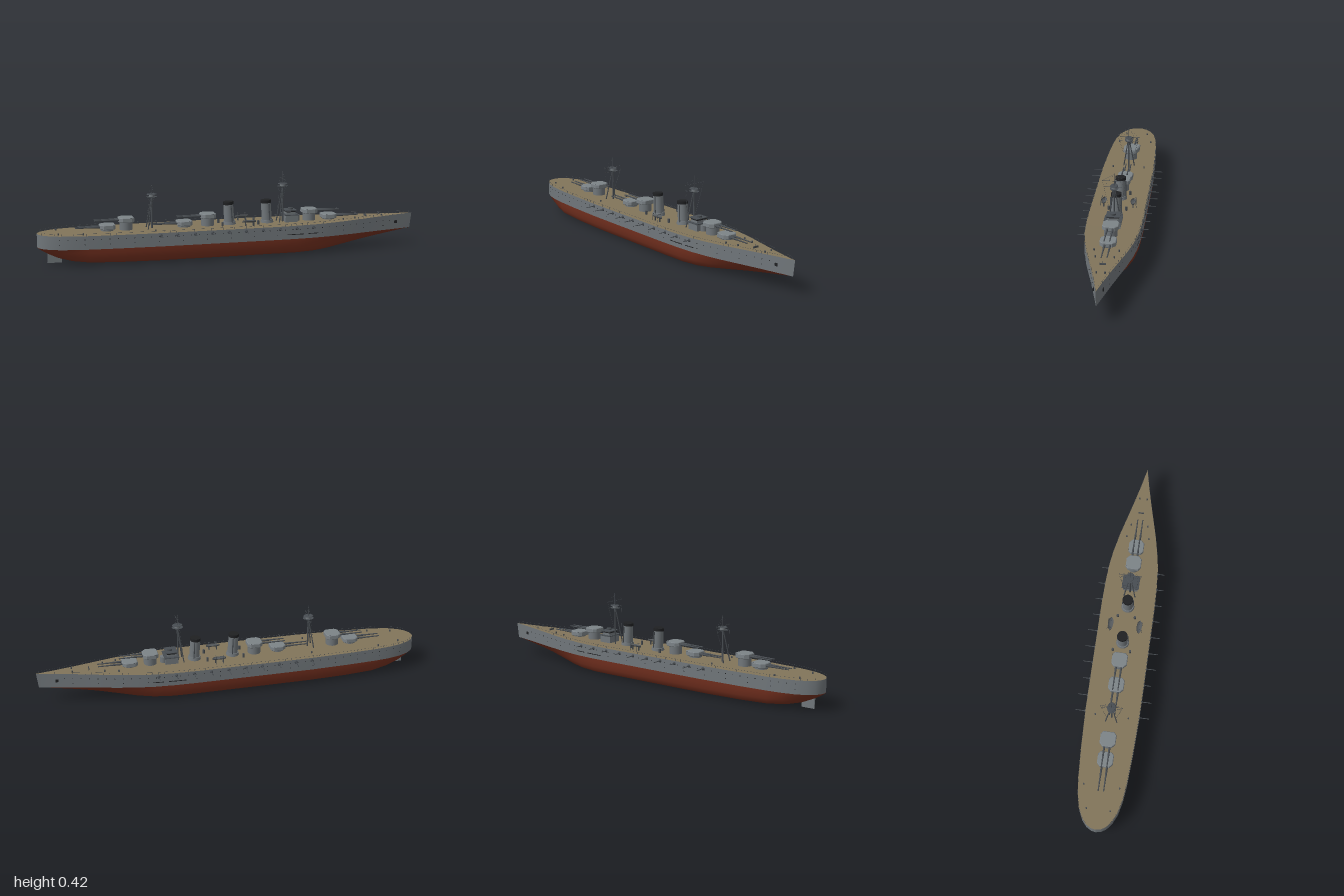
import * as THREE from 'three';
import { mergeGeometries } from 'three/addons/utils/BufferGeometryUtils.js';

const paint = (name, color, side = THREE.FrontSide) => {
  const m = new THREE.MeshStandardMaterial({ color, side });
  m.name = name;
  return m;
};
const V = (x, y, z) => new THREE.Vector3(x, y, z);

// Hull stations: x, half beam, keel height
const STATIONS = [
  [-1, 0, 0.088], [-0.995, 0.025, 0.082], [-0.98, 0.05, 0.073], [-0.95, 0.075, 0.056], [-0.9, 0.098, 0.034],
  [-0.83, 0.114, 0.017], [-0.75, 0.123, 0.009], [-0.6, 0.132, 0.005], [-0.4, 0.139, 0.003], [-0.2, 0.14, 0.003],
  [0, 0.14, 0.003], [0.2, 0.14, 0.003], [0.32, 0.137, 0.003], [0.42, 0.13, 0.005], [0.5, 0.118, 0.011],
  [0.6, 0.097, 0.025], [0.7, 0.071, 0.041], [0.8, 0.045, 0.057], [0.9, 0.021, 0.074], [0.97, 0.006, 0.085], [1, 0, 0.088],
];
const WATER = 0.088;
const deckY = (x) => 0.156 + 0.012 * Math.pow(Math.max(0, (x - 0.2) / 0.8), 1.5);
function beam(x) {
  const i = Math.max(1, STATIONS.findIndex((s) => s[0] >= x));
  const [a, b] = [STATIONS[i - 1], STATIONS[i]];
  return a[1] + ((b[1] - a[1]) * (x - a[0])) / (b[0] - a[0]);
}

// Skin through a list of rings with equal point counts
function loft(rings) {
  const n = rings[0].length, index = [];
  for (let i = 0; i < rings.length - 1; i++)
    for (let j = 0; j < n - 1; j++) {
      const a = i * n + j, c = a + n;
      index.push(a, a + 1, c, a + 1, c + 1, c);
    }
  const g = new THREE.BufferGeometry();
  g.setAttribute('position', new THREE.Float32BufferAttribute(rings.flat(2), 3));
  g.setIndex(index);
  g.computeVertexNormals();
  return g;
}

// Round bar between two points
function rod(a, b, r0, r1 = r0, sides = 6) {
  const d = b.clone().sub(a);
  const g = new THREE.CylinderGeometry(r1, r0, d.length(), sides);
  g.applyQuaternion(new THREE.Quaternion().setFromUnitVectors(V(0, 1, 0), d.normalize()));
  return g.translate((a.x + b.x) / 2, (a.y + b.y) / 2, (a.z + b.z) / 2);
}
const box = (w, h, d, x, y, z) => new THREE.BoxGeometry(w, h, d).translate(x, y, z);
const drum = (r0, r1, y0, y1, x = 0, z = 0, sides = 24) =>
  new THREE.CylinderGeometry(r1, r0, y1 - y0, sides).translate(x, (y0 + y1) / 2, z);

export function createModel() {
  const ship = new THREE.Group();
  ship.name = 'battleship';
  const grey = paint('hull grey', 0x70767a), red = paint('bottom red', 0x74301f);
  const wood = paint('deck wood', 0x81745a), light = paint('turret grey', 0x7c8387);
  const dark = paint('dark grey', 0x484d52), black = paint('black', 0x1f2022);
  const line = paint('boat grey', 0x55595c, THREE.DoubleSide);
  const add = (parent, name, mat, ...geos) => {
    const m = new THREE.Mesh(geos.length > 1 ? mergeGeometries(geos) : geos[0], mat);
    m.name = name;
    parent.add(m);
    return m;
  };

  // Hull: painted bottom, two topsides and deck
  const full = [[1, 0], [0.985, 0.25], [0.94, 0.55], [0.87, 0.8], [0.78, 0.91], [0.55, 0.985], [0, 1]];
  const fine = [[1, 0], [0.8, 0.22], [0.58, 0.45], [0.38, 0.65], [0.22, 0.8], [0.1, 0.92], [0, 1]];
  const rake = (x) => x - 0.1 * Math.max(0, x - 0.9);
  const bottom = STATIONS.map(([x, w, k]) => {
    const v = x > 0 ? THREE.MathUtils.smoothstep(x, 0.3, 0.95) : 0.5 * THREE.MathUtils.smoothstep(-x, 0.7, 1);
    const half = full.map((p, i) => [
      rake(x),
      WATER - (WATER - k) * THREE.MathUtils.lerp(p[1], fine[i][1], v),
      w * THREE.MathUtils.lerp(p[0], fine[i][0], v),
    ]);
    return [...half, ...half.slice(0, -1).reverse().map(([a, b, c]) => [a, b, -c])];
  });
  add(ship, 'hullBottom', red, loft(bottom));
  for (const s of [1, -1])
    add(ship, s > 0 ? 'topsideFront' : 'topsideBack', grey, loft(STATIONS.map(([x, w]) => {
      const ring = [[x, deckY(x), s * w], [rake(x), WATER, s * w]];
      return s > 0 ? ring : ring.reverse();
    })));
  add(ship, 'deck', wood, loft(STATIONS.map(([x, w]) => [[x, deckY(x), -w], [x, deckY(x), w]])));
  add(ship, 'rudder', grey, box(0.07, 0.052, 0.008, -0.915, 0.031, 0));

  // Railing, portholes and side fittings
  const rails = [], ports = [], fittings = [];
  for (const s of [1, -1]) {
    for (let x = -0.98; x < 0.97; x += 0.03) {
      const p = V(x, deckY(x), s * beam(x) * 0.99), x2 = x + 0.03;
      rails.push(rod(p, V(x, p.y + 0.011, p.z), 0.0005, 0.0005, 4));
      rails.push(rod(V(x, p.y + 0.011, p.z), V(x2, deckY(x2) + 0.011, s * beam(x2) * 0.99), 0.0004, 0.0004, 4));
    }
    for (let i = 0; i < 44; i++) {
      const x = -0.9 + i * 0.041, z = s * beam(x);
      for (const y of i % 3 ? [0.138] : [0.138, 0.113])
        ports.push(rod(V(x, y, z - s * 0.002), V(x, y, z + s * 0.001), 0.0022, 0.0022, 8));
    }
    for (const [a, b] of [[0.26, 0.35], [0.375, 0.43]])
      fittings.push(rod(V(a, 0.112, s * (beam(a) + 0.001)), V(b, 0.112, s * (beam(b) + 0.001)), 0.002));
    fittings.push(box(0.014, 0.014, 0.006, 0.9, 0.127, s * 0.022));
  }
  add(ship, 'railing', dark, ...rails);
  add(ship, 'portholes', black, ...ports);
  add(ship, 'anchorsAndBooms', black, ...fittings);

  // Side guns
  const mounts = [], sideGuns = [];
  [-0.4, -0.315, -0.225, -0.135, -0.05, 0.04, 0.13, 0.22, 0.31, 0.4].forEach((x, i) => {
    for (const s of [1, -1]) {
      const z = beam(x), tip = x > 0.1 || i === 2 ? z + 0.036 : z + 0.05;
      mounts.push(new THREE.SphereGeometry(0.009, 10, 8).translate(x, 0.143, s * (z - 0.003)));
      sideGuns.push(rod(V(x, 0.143, s * z), V(x, 0.143, s * tip), 0.0026, 0.0018, 8));
    }
  });
  add(ship, 'sideGunMounts', dark, ...mounts);
  add(ship, 'sideGuns', dark, ...sideGuns);

  // Main gun turrets, built pointing to +x
  const plan = new THREE.Shape([[-0.036, -0.026], [-0.024, -0.037], [0.02, -0.037], [0.036, -0.022],
    [0.036, 0.022], [0.02, 0.037], [-0.024, 0.037], [-0.036, 0.026]].map((p) => new THREE.Vector2(...p)));
  function turret(x, high, dir) {
    const g = new THREE.Group(), y = high ? 0.196 : 0.164;
    g.name = 'turret';
    add(g, 'barbette', grey, drum(0.033, 0.033, 0.15, y + 0.002));
    const house = new THREE.ExtrudeGeometry(plan, { depth: 0.018, bevelSize: 0.003, bevelThickness: 0.003, bevelSegments: 1 });
    add(g, 'gunHouse', light, house.rotateX(-Math.PI / 2).translate(0, y + 0.003, 0));
    for (const z of [-0.0135, 0.0135]) {
      const h = y + 0.012;
      add(g, 'barrel', dark, rod(V(0.03, h, z), V(0.085, h, z), 0.0055, 0.0045, 10),
        rod(V(0.08, h, z), V(0.162, h, z), 0.0038, 0.0028, 10));
    }
    add(g, 'rangefinder', dark, box(0.008, 0.005, 0.078, -0.022, y + 0.021, 0));
    g.position.x = x;
    if (dir < 0) g.rotation.y = Math.PI;
    ship.add(g);
  }
  [[0.527, 0, 1], [0.42, 1, 1], [-0.128, 1, -1], [-0.252, 0, -1], [-0.552, 1, -1], [-0.648, 0, -1]]
    .forEach((t) => turret(...t));

  // Funnels, leaning slightly aft
  for (const x of [-0.012, 0.19]) {
    const g = new THREE.Group();
    g.name = 'funnel';
    add(g, 'funnelBase', grey, drum(0.034, 0.031, 0, 0.016));
    add(g, 'funnelStack', grey, drum(0.027, 0.025, 0, 0.108));
    add(g, 'funnelCap', black, drum(0.027, 0.027, 0.104, 0.119));
    add(g, 'steamPipes', dark, ...[1, -1].map((s) => rod(V(0.008, 0, s * 0.028), V(0.008, 0.1, s * 0.027), 0.003)));
    g.position.set(x, 0.156, 0);
    g.rotation.z = 0.06;
    ship.add(g);
  }

  // Bridge tiers
  const bridge = new THREE.Group();
  bridge.name = 'bridge';
  add(bridge, 'bridgeBase', grey, box(0.066, 0.036, 0.076, 0.314, 0.174, 0));
  add(bridge, 'bridgeWings', dark, box(0.076, 0.004, 0.09, 0.314, 0.194, 0), box(0.062, 0.004, 0.07, 0.312, 0.217, 0));
  add(bridge, 'wheelhouse', grey, box(0.046, 0.02, 0.058, 0.312, 0.206, 0));
  add(bridge, 'bridgeWindows', black, box(0.048, 0.005, 0.06, 0.312, 0.21, 0));
  add(bridge, 'directorTower', dark, drum(0.013, 0.013, 0.218, 0.228, 0.318));
  add(bridge, 'conningTower', grey, drum(0.018, 0.018, 0.156, 0.188, 0.35));
  ship.add(bridge);

  // Tripod masts with spotting tops, yards and stays
  function mast(x, top, floor, yards) {
    const g = new THREE.Group();
    g.name = 'mast';
    add(g, 'pole', dark, rod(V(x, 0.15, 0), V(x, floor, 0), 0.0045, 0.0035, 8), rod(V(x, floor, 0), V(x, top, 0), 0.0025, 0.001));
    add(g, 'tripodLegs', dark, ...[1, -1].map((s) => rod(V(x - 0.026, 0.15, s * 0.03), V(x, floor, s * 0.003), 0.0032, 0.0026)));
    add(g, 'spottingFloor', dark, drum(0.02, 0.024, floor - 0.004, floor).scale(1.2, 1, 0.9).translate(-0.2 * x, 0, 0));
    add(g, 'spottingCabin', grey, drum(0.014, 0.014, floor, floor + 0.012, x));
    add(g, 'spottingRoof', dark, drum(0.022, 0.02, floor + 0.012, floor + 0.015).scale(1.2, 1, 0.9).translate(x, 0, 0));
    g.children[2].geometry.translate(1.2 * x, 0, 0);
    const rig = [];
    for (const [y, w] of yards) {
      rig.push(rod(V(x, y, -w), V(x, y, w), 0.001, 0.001, 5));
      for (const s of [1, -1]) {
        rig.push(rod(V(x, y, s * w), V(x - 0.02, 0.21, s * 0.024), 0.0004, 0.0004, 4));
        rig.push(rod(V(x, y, s * w), V(x, top - 0.006, 0), 0.0003, 0.0003, 4));
      }
    }
    add(g, 'yardsAndStays', dark, ...rig);
    ship.add(g);
  }
  mast(0.275, 0.422, 0.343, [[0.381, 0.059], [0.349, 0.051]]);
  mast(-0.418, 0.388, 0.317, [[0.335, 0.058], [0.31, 0.05]]);

  // Open boats on cradles with davits
  for (const s of [1, -1]) {
    const boat = [];
    for (let i = 0; i <= 10; i++) {
      const t = -1 + i / 5, w = 0.0135 * Math.sqrt(1 - t * t), x = 0.075 + t * 0.036, z = s * 0.075;
      boat.push([[x, 0.184, z + w], [x, 0.178, z + w * 0.8], [x, 0.174, z], [x, 0.178, z - w * 0.8], [x, 0.184, z - w]]);
    }
    add(ship, 'boat', line, loft(boat));
    const stand = [];
    for (const x of [0.055, 0.095]) {
      stand.push(box(0.004, 0.02, 0.006, x, 0.166, s * 0.075));
      stand.push(rod(V(x, 0.156, s * 0.092), V(x, 0.196, s * 0.088), 0.0012));
      stand.push(rod(V(x, 0.196, s * 0.088), V(x, 0.194, s * 0.07), 0.001));
    }
    add(ship, 'boatDavits', dark, ...stand);
  }

  // Small deck fittings: bollards, vents, capstans, breakwater, jackstaff
  const small = [];
  for (const s of [1, -1]) {
    for (const [x, z] of [[-0.9, 0.06], [-0.78, 0.09], [-0.415, 0.085], [0.59, 0.06], [0.66, 0.045], [0.82, 0.02]])
      small.push(drum(0.004, 0.004, deckY(x) - 0.002, deckY(x) + 0.009, x, s * z, 10));
    for (const x of [-0.06, 0.13]) small.push(drum(0.006, 0.006, 0.154, 0.176, x, s * 0.045, 12));
  }
  small.push(box(0.004, 0.01, 0.03, 0.735, deckY(0.735) + 0.004, 0));
  small.push(rod(V(0.735, 0.16, 0), V(0.735, 0.181, 0), 0.001), rod(V(0.985, 0.166, 0), V(0.985, 0.178, 0), 0.001));
  add(ship, 'deckFittings', dark, ...small);
  return ship;
}
